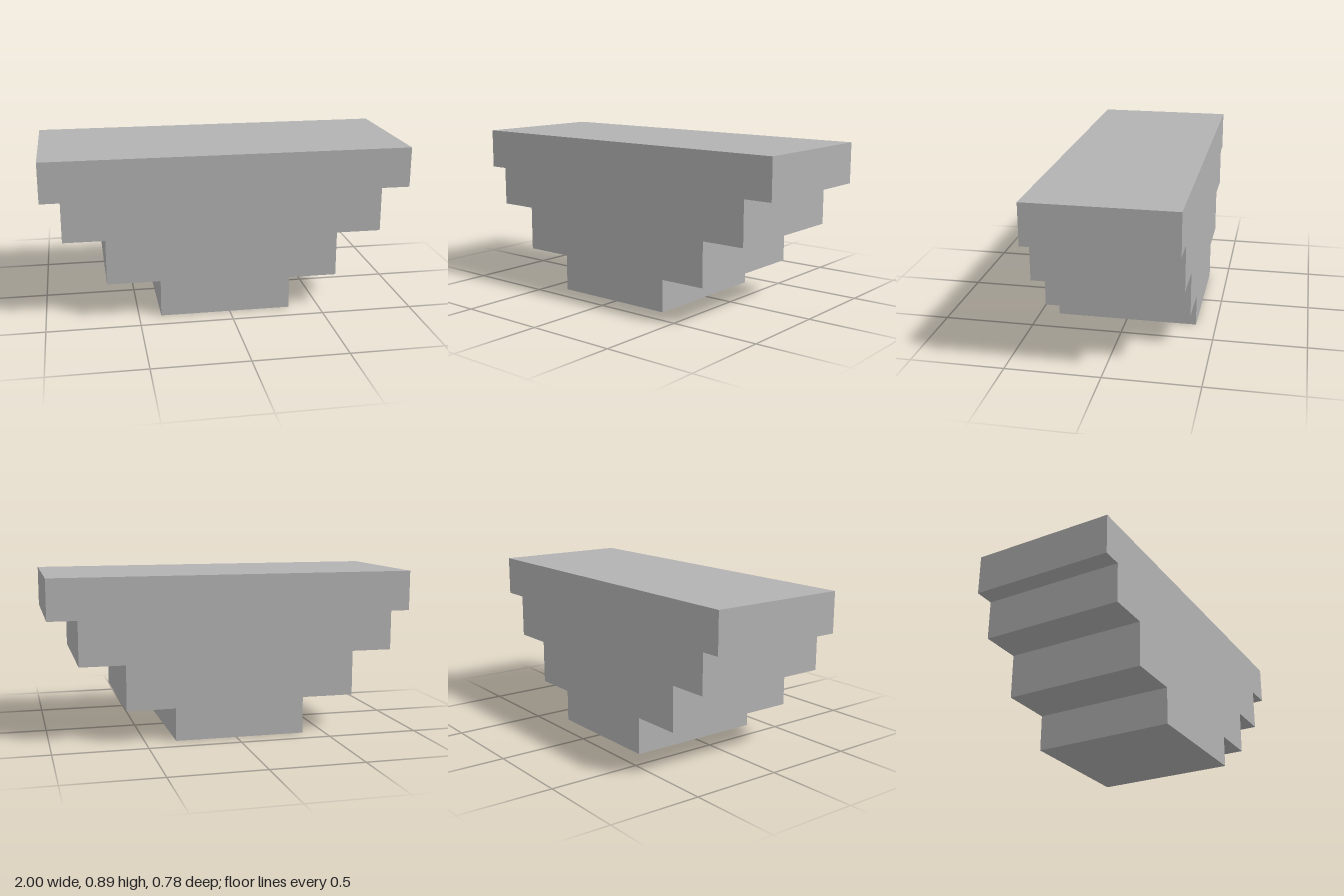
import * as THREE from 'three';

const DEPTH = 0.78;

// Stepped outline, counter-clockwise from the bottom left corner
const OUTLINE = [
  [-0.38, 0], [0.334, 0],
  [0.334, 0.178], [0.598, 0.178],
  [0.598, 0.424], [0.843, 0.424],
  [0.843, 0.667], [1, 0.667],
  [1, 0.888], [-1, 0.888],
  [-1, 0.667], [-0.893, 0.667],
  [-0.893, 0.449], [-0.668, 0.449],
  [-0.668, 0.202], [-0.38, 0.202],
];

export function createModel() {
  const group = new THREE.Group();
  group.name = 'steppedBlock';

  const stone = new THREE.MeshStandardMaterial({ color: 0xb2b2b2 });
  stone.name = 'plain grey';

  // One solid block, extruded front to back
  const shape = new THREE.Shape(OUTLINE.map(([x, y]) => new THREE.Vector2(x, y)));
  const geometry = new THREE.ExtrudeGeometry(shape, { depth: DEPTH, bevelEnabled: false });
  geometry.translate(0, 0, -DEPTH / 2);

  const block = new THREE.Mesh(geometry, stone);
  block.name = 'steppedBody';
  group.add(block);
  return group;
}
